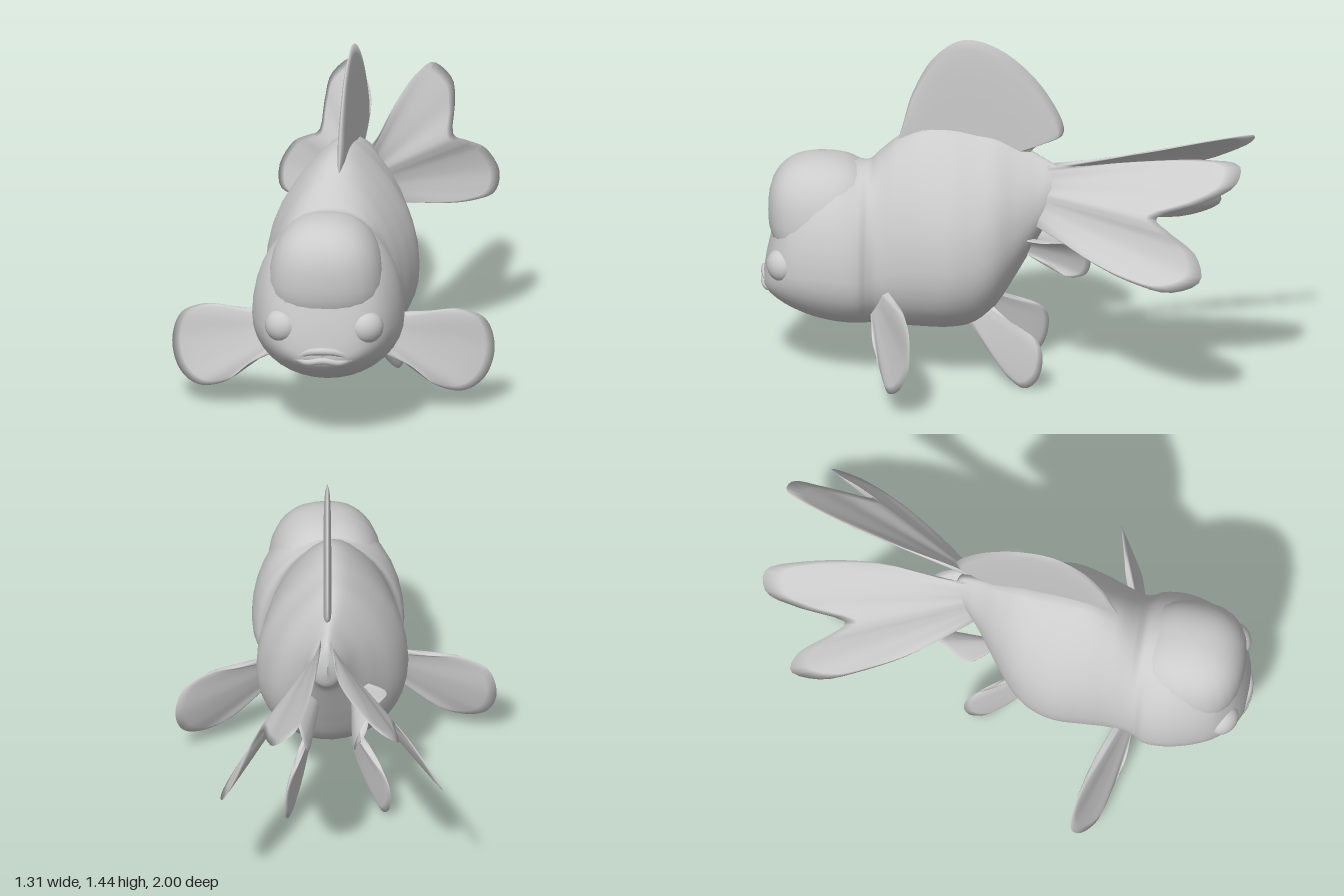
import * as THREE from 'three';
import { ParametricGeometry } from 'three/addons/geometries/ParametricGeometry.js';

const V = (p) => new THREE.Vector3(...p);

export function createModel() {
  const model = new THREE.Group();
  const skin = new THREE.MeshStandardMaterial({ color: 0xcccccc });
  const finSkin = new THREE.MeshStandardMaterial({ color: 0xcccccc, side: THREE.DoubleSide });
  const add = (name, geometry) => {
    const mesh = new THREE.Mesh(geometry, skin);
    mesh.name = name;
    model.add(mesh);
    return mesh;
  };

  // Body: egg-shaped rings along z: [z, centre x, half width, bottom, top]
  const rings = [
    [-0.24, 0.1, 0.004, 0.80, 0.84], [-0.22, 0.1, 0.05, 0.73, 0.91], [-0.18, 0.095, 0.075, 0.69, 0.935],
    [-0.12, 0.08, 0.112, 0.58, 0.965], [-0.05, 0.06, 0.172, 0.45, 1.0], [0.04, 0.045, 0.25, 0.30, 1.04],
    [0.12, 0.035, 0.288, 0.23, 1.05], [0.22, 0.03, 0.31, 0.205, 1.06], [0.34, 0.02, 0.295, 0.2, 1.05],
    [0.44, 0.01, 0.275, 0.2, 0.995], [0.52, 0, 0.268, 0.205, 0.92], [0.555, 0, 0.28, 0.205, 0.885],
    [0.59, 0, 0.302, 0.205, 0.88], [0.68, 0, 0.308, 0.21, 0.895], [0.78, 0, 0.288, 0.23, 0.87],
    [0.87, 0, 0.248, 0.265, 0.79], [0.93, 0, 0.192, 0.30, 0.66], [0.965, 0, 0.132, 0.33, 0.53],
    [0.983, 0, 0.06, 0.36, 0.43], [0.986, 0, 0.003, 0.385, 0.40],
  ];
  const zx = new THREE.CatmullRomCurve3(rings.map(([z, x, w]) => V([z, x, w])));
  const heights = new THREE.CatmullRomCurve3(rings.map((r) => V([r[0], r[3], r[4]])));
  const bodyPoint = (u, v, target) => {
    const a = u * Math.PI * 2, c = Math.cos(a), s = Math.sin(a);
    const { x: z, y: cx, z: w } = zx.getPoint(v);
    const { y: bottom, z: top } = heights.getPoint(v);
    const mid = bottom + (top - bottom) * 0.38;
    // The back narrows to a ridge behind the head
    const ridge = 0.42 * (1 - THREE.MathUtils.smoothstep(z, 0.3, 0.6));
    const pinch = s > 0 ? 1 - ridge * Math.pow(s, 2.5) : 1;
    const y = s > 0 ? mid + (top - mid) * s : mid - (mid - bottom) * Math.pow(-s, 0.95);
    target.set(cx + w * c * pinch, y, z);
  };
  add('body', new ParametricGeometry(bodyPoint, 36, 57));

  // Fleshy hood on the forehead, boxy with a heavy brow
  const hood = new THREE.SphereGeometry(1, 28, 20);
  const hp = hood.attributes.position;
  for (let i = 0; i < hp.count; i++) {
    const p = new THREE.Vector3().fromBufferAttribute(hp, i);
    const n = Math.pow(Math.abs(p.x) ** 2.5 + Math.abs(p.y) ** 2.5 + Math.abs(p.z) ** 2.5, 1 / 2.5);
    p.divideScalar(n);
    hp.setXYZ(i, p.x * (0.232 - 0.03 * p.y), 0.685 + p.y * 0.222, 0.742 + p.z * 0.226);
  }
  hood.computeVertexNormals();
  add('hood', hood);

  // Bulging eyes
  for (const side of [1, -1]) {
    const eye = add(side > 0 ? 'leftEye' : 'rightEye', new THREE.SphereGeometry(0.067, 20, 14));
    eye.position.set(side * 0.175, 0.49, 0.905);
    eye.scale.set(1.05, 1, 0.85);
    eye.rotation.y = side * 0.6;
  }

  // Downturned lips
  const lip = (name, y, z, r) => {
    const curve = new THREE.CatmullRomCurve3([
      V([-0.112, 0.368, 0.95]), V([-0.065, y - 0.01, z - 0.012]), V([0, y, z]),
      V([0.065, y - 0.01, z - 0.012]), V([0.112, 0.368, 0.95]),
    ]);
    add(name, new THREE.TubeGeometry(curve, 24, r, 10));
  };
  lip('upperLip', 0.408, 0.983, 0.016);
  lip('lowerLip', 0.368, 0.985, 0.014);

  // Fin: rays run from the root chord to an outline; two sheets meet at the rim
  const fin = (name, outline, dir, thick) => {
    const edge = new THREE.CatmullRomCurve3(outline.map(V), false, 'centripetal');
    const a = V(outline[0]), b = V(outline[outline.length - 1]);
    const normal = V(dir).normalize();
    const group = new THREE.Group();
    group.name = name;
    for (const sign of [1, -1]) {
      const sheet = (u, v, target) => {
        const swell = thick * Math.sqrt(1 - v ** 4) * Math.min(1, 2 * Math.sin(Math.PI * u));
        target.lerpVectors(a, b, u).lerp(edge.getPoint(u), v).addScaledVector(normal, sign * swell);
      };
      const mesh = new THREE.Mesh(new ParametricGeometry(sheet, 52, 12), finSkin);
      mesh.name = name + 'Sheet';
      group.add(mesh);
    }
    model.add(group);
  };
  // Left fin plus its mirror image; mirrorX(x, z) gives the mirrored x
  const finPair = (name, outline, dir, thick, mirrorX, rearScale = 1) => {
    fin('left' + name, outline, dir, thick);
    const mirrored = outline.map(([x, y, z]) => [mirrorX(x, z), y, z * rearScale]);
    fin('right' + name, mirrored, [-dir[0], dir[1], dir[2]], thick);
  };

  // Dorsal fin, leaning along the curved spine
  const dorsal = [
    [0.45, 0.95], [0.42, 1.06], [0.38, 1.2], [0.29, 1.36], [0.17, 1.44], [0.03, 1.41],
    [-0.13, 1.28], [-0.235, 1.1], [-0.23, 1.05], [-0.13, 1.0], [-0.08, 0.95],
  ].map(([z, y]) => [0.075 - 0.11 * z, y, z]);
  fin('dorsalFin', dorsal, [1, 0, 0.1], 0.016);

  // Forked double tail, following the sideways sweep of the spine
  finPair('Tail', [
    [0.11, 0.92, -0.13], [0.145, 0.935, -0.28], [0.19, 0.98, -0.55], [0.26, 1.02, -0.83],
    [0.32, 1.02, -0.965], [0.39, 0.96, -0.95], [0.41, 0.89, -0.82], [0.42, 0.82, -0.63],
    [0.47, 0.78, -0.69], [0.54, 0.71, -0.8], [0.59, 0.62, -0.82], [0.585, 0.565, -0.7],
    [0.51, 0.575, -0.54], [0.4, 0.61, -0.38], [0.28, 0.655, -0.24], [0.15, 0.69, -0.1],
  ], [0.8, 0.5, 0.33], 0.006, (x, z) => 0.19 - x + 0.1 * Math.min(1, (-z - 0.1) / 0.5), 1.035);

  // Pectoral fins
  finPair('PectoralFin', [
    [0.23, 0.42, 0.48], [0.39, 0.41, 0.42], [0.52, 0.41, 0.385], [0.62, 0.36, 0.36],
    [0.655, 0.24, 0.36], [0.62, 0.13, 0.4], [0.54, 0.085, 0.45], [0.43, 0.11, 0.48],
    [0.33, 0.2, 0.52], [0.2, 0.27, 0.54],
  ], [0.35, 0.35, 0.87], 0.013, (x) => -x);

  // Pelvic fins
  finPair('PelvicFin', [
    [0.13, 0.26, 0.16], [0.17, 0.13, 0.06], [0.21, 0.035, -0.02], [0.24, 0.003, -0.085],
    [0.262, 0.05, -0.14], [0.262, 0.16, -0.16], [0.24, 0.22, -0.13], [0.2, 0.26, -0.045],
    [0.14, 0.33, 0.06],
  ], [0.85, 0.4, 0.3], 0.013, (x) => 0.1 - x);

  // Anal fins, swept along with the spine
  finPair('AnalFin', [
    [0.13, 0.62, -0.03], [0.235, 0.632, -0.15], [0.235, 0.63, -0.27], [0.215, 0.565, -0.35],
    [0.19, 0.485, -0.33], [0.185, 0.47, -0.26], [0.175, 0.52, -0.18], [0.1, 0.56, -0.04],
  ], [0.92, -0.35, 0.1], 0.011, (x, z) => 0.085 - x + 0.6 * Math.max(0, -z - 0.15));

  return model;
}
